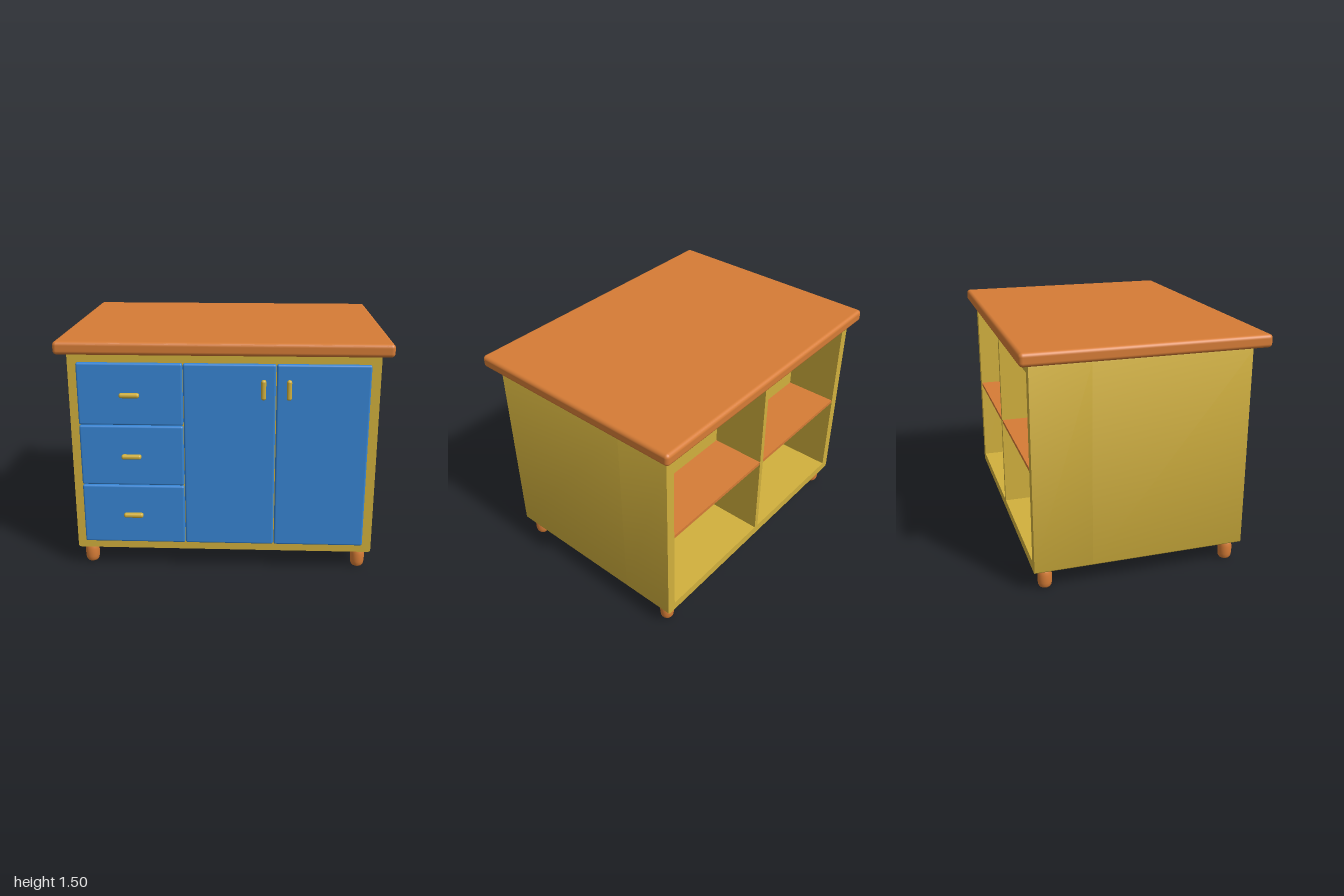
import * as THREE from 'three';
import { toCreasedNormals } from 'three/addons/utils/BufferGeometryUtils.js';
import { RoundedBoxGeometry } from 'three/addons/geometries/RoundedBoxGeometry.js';

const material = (name, color) => Object.assign(new THREE.MeshStandardMaterial({ color }), { name });

export function createModel() {
  const orangeWood = material('orange wood', 0xd67c36);
  const yellowWood = material('yellow wood', 0xd1b03d);
  const bluePaint = material('blue paint', 0x3785d4);
  const model = new THREE.Group();
  model.name = 'cabinet';

  const add = (name, geometry, mat, x = 0, y = 0, z = 0) => {
    const mesh = new THREE.Mesh(geometry, mat);
    mesh.name = name;
    mesh.position.set(x, y, z);
    model.add(mesh);
    return mesh;
  };
  // Box given by its limits; rounded when a radius is passed
  const block = (name, mat, [x0, x1], [y0, y1], [z0, z1], radius = 0) => {
    const size = [x1 - x0, y1 - y0, z1 - z0];
    const geometry = radius ? new RoundedBoxGeometry(...size, 4, radius) : new THREE.BoxGeometry(...size);
    return add(name, geometry, mat, (x0 + x1) / 2, (y0 + y1) / 2, (z0 + z1) / 2);
  };

  // Carcass outline, softly rounded along its long edges
  const outline = () => {
    const [w, y0, y1, r] = [0.94, 0.13, 1.42, 0.018];
    const s = new THREE.Shape();
    s.absarc(w - r, y0 + r, r, -Math.PI / 2, 0);
    s.absarc(w - r, y1 - r, r, 0, Math.PI / 2);
    s.absarc(-w + r, y1 - r, r, Math.PI / 2, Math.PI);
    s.absarc(-w + r, y0 + r, r, Math.PI, Math.PI * 1.5);
    s.closePath();
    return s;
  };
  const extrude = (shape, depth) => toCreasedNormals(
    new THREE.ExtrudeGeometry(shape, { depth, bevelEnabled: false, curveSegments: 6 }), 0.6);

  // Solid front half and open frame around the back shelves
  const [back, recess, front] = [-0.69, -0.33, 0.655];
  add('carcassFront', extrude(outline(), front - recess), yellowWood, 0, 0, recess);
  const frame = outline();
  frame.holes.push(new THREE.Path([
    [-0.88, 0.19], [-0.88, 1.36], [0.88, 1.36], [0.88, 0.19],
  ].map(([x, y]) => new THREE.Vector2(x, y))));
  add('carcassBackFrame', extrude(frame, recess - back), yellowWood, 0, 0, back);

  // Divider and shelves in the open back
  block('divider', yellowWood, [-0.016, 0.016], [0.19, 1.36], [back, recess]);
  for (const side of [-1, 1]) {
    const xs = [0.016 * side, 0.88 * side].sort((a, b) => a - b);
    block(side < 0 ? 'shelfRight' : 'shelfLeft', orangeWood, xs, [0.765, 0.787], [back + 0.003, recess]);
  }

  // Worktop
  block('worktop', orangeWood, [-1, 1], [1.42, 1.5], [-0.75, 0.75], 0.024);

  // Drawers with horizontal handles
  const panelZ = [front, 0.692];
  const handleZ = [0.689, 0.724];
  for (let i = 0; i < 3; i++) {
    const y = 0.19 + i * 0.392;
    block('drawer' + (i + 1), bluePaint, [-0.882, -0.243], [y, y + 0.387], panelZ, 0.012);
    block('drawerHandle' + (i + 1), yellowWood, [-0.625, -0.502], [y + 0.178, y + 0.208], handleZ, 0.0135);
  }

  // Doors with vertical handles
  const doors = [['Right', -0.239, 0.316, 0.243], ['Left', 0.321, 0.88, 0.396]];
  for (const [side, x0, x1, handleX] of doors) {
    block('door' + side, bluePaint, [x0, x1], [0.19, 1.361], panelZ, 0.012);
    block('doorHandle' + side, yellowWood, [handleX - 0.015, handleX + 0.015], [1.149, 1.272], handleZ, 0.0135);
  }

  // Rounded feet
  const footProfile = [
    [0, 0], [0.022, 0.001], [0.034, 0.008], [0.041, 0.02], [0.044, 0.04],
    [0.045, 0.065], [0.044, 0.09], [0.041, 0.11], [0.035, 0.124], [0.026, 0.132], [0, 0.135],
  ].map(([r, y]) => new THREE.Vector2(r, y));
  const footGeometry = new THREE.LatheGeometry(footProfile, 24);
  for (const x of [-0.868, 0.868]) {
    for (const z of [-0.614, 0.582]) {
      add((z > 0 ? 'front' : 'back') + (x > 0 ? 'Left' : 'Right') + 'Foot', footGeometry, orangeWood, x, 0, z);
    }
  }
  return model;
}
